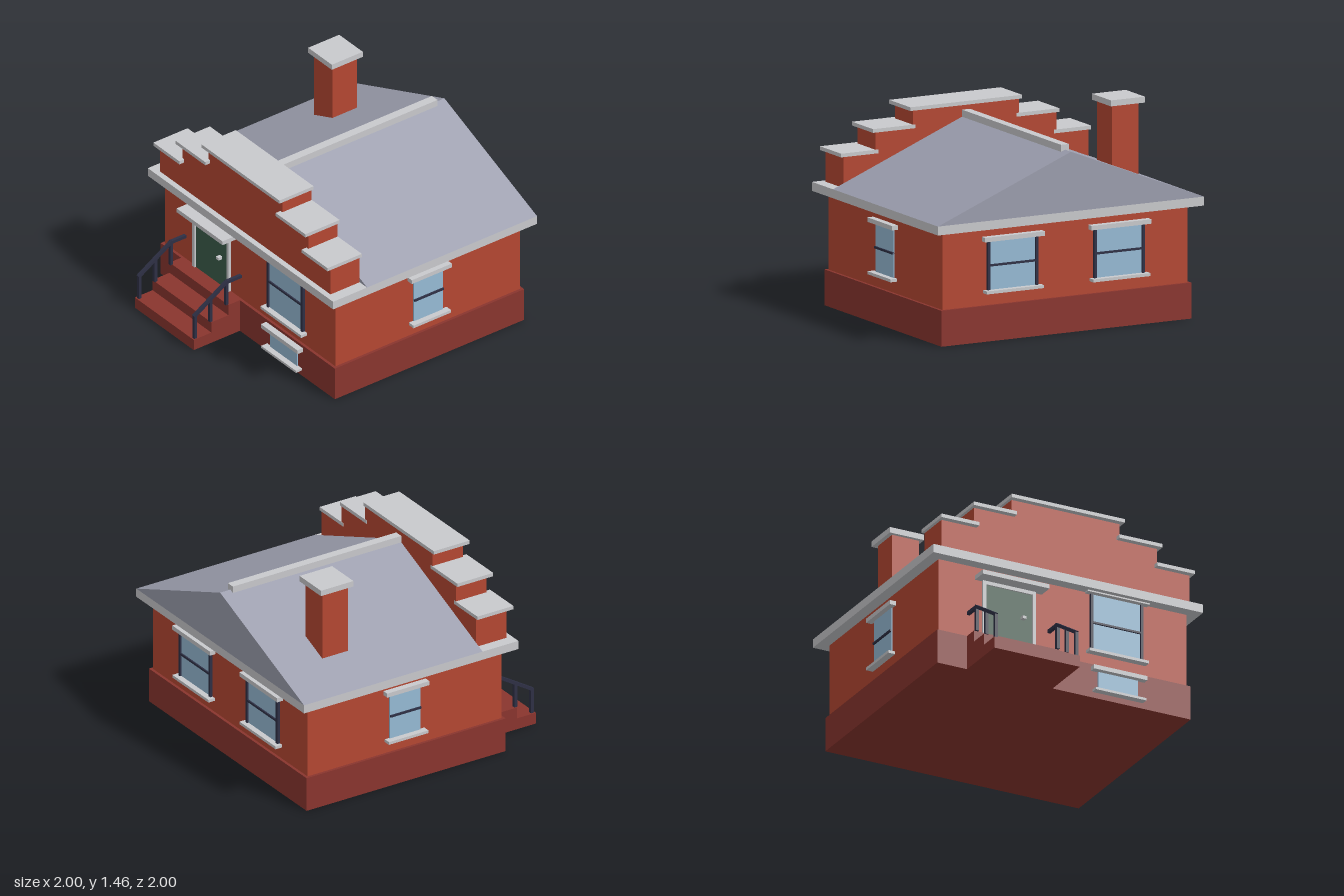
import * as THREE from 'three';

function material(name, color) {
  const m = new THREE.MeshStandardMaterial({ color });
  m.name = name;
  return m;
}

export function createModel() {
  const house = new THREE.Group();
  house.name = 'house';
  const brick = material('brick', 0xb54732);
  const darkBrick = material('darkBrick', 0x8a352e);
  const stone = material('stone', 0xc9cacd);
  const slate = material('slate', 0x9c9eae);
  const glass = material('glass', 0x96bbd5);
  const iron = material('iron', 0x2e3045);
  const green = material('green', 0x3c5c4b);

  // Box given by its lower and upper limits on each axis
  function box(name, mat, x0, x1, y0, y1, z0, z1, parent = house) {
    const mesh = new THREE.Mesh(new THREE.BoxGeometry(x1 - x0, y1 - y0, z1 - z0), mat);
    mesh.position.set((x0 + x1) / 2, (y0 + y1) / 2, (z0 + z1) / 2);
    mesh.name = name;
    parent.add(mesh);
    return mesh;
  }

  // Outline in x and y, extruded between two z values
  function prism(name, mat, points, z0, z1) {
    const shape = new THREE.Shape(points.map(([x, y]) => new THREE.Vector2(x, y)));
    const geo = new THREE.ExtrudeGeometry(shape, { depth: z1 - z0, bevelEnabled: false });
    const mesh = new THREE.Mesh(geo, mat);
    mesh.position.z = z0;
    mesh.name = name;
    house.add(mesh);
  }

  // Main body
  box('foundation', darkBrick, -0.94, 0.94, 0, 0.24, -0.94, 0.62);
  box('walls', brick, -0.92, 0.92, 0.24, 0.76, -0.92, 0.6);
  box('eaves', stone, -1, 1, 0.76, 0.82, -1, 0.68);

  // Gabled roof and ridge cap
  prism('roof', slate, [[-1, 0.82], [1, 0.82], [0, 1.22]], -1, 0.4);
  box('ridgeCap', stone, -0.03, 0.03, 1.2, 1.255, -0.92, 0.4);

  // Stepped parapet with coping stones
  prism('parapet', brick, [
    [-0.92, 0.82], [0.92, 0.82], [0.92, 1.03], [0.68, 1.03], [0.68, 1.17], [0.4, 1.17],
    [0.4, 1.29], [-0.4, 1.29], [-0.4, 1.17], [-0.68, 1.17], [-0.68, 1.03], [-0.92, 1.03],
  ], 0.4, 0.64);
  box('topCoping', stone, -0.42, 0.42, 1.285, 1.31, 0.398, 0.68);
  for (const s of [-1, 1]) {
    for (const [a, b, y] of [[0.38, 0.7, 1.167], [0.66, 0.94, 1.027]]) {
      box('coping', stone, Math.min(s * a, s * b), Math.max(s * a, s * b), y, y + 0.025, 0.398, 0.68);
    }
  }

  // Chimney
  box('chimney', brick, -0.7, -0.5, 0.85, 1.42, -0.66, -0.46);
  box('chimneyCap', stone, -0.73, -0.475, 1.42, 1.46, -0.69, -0.435);

  // Sash window facing +z, centred on x = 0 with the wall at z = 0
  function sashWindow(name, width, y0, y1, posts) {
    const g = new THREE.Group();
    g.name = name;
    const h = width / 2;
    box('pane', glass, -h, h, y0, y1, 0, 0.009, g);
    const bar = (y0 + y1) / 2;
    box('sashBar', iron, -h, h, bar - 0.007, bar + 0.007, 0, 0.02, g);
    box('sill', stone, -h - 0.035, h + 0.035, y0 - 0.02, y0, 0, 0.05, g);
    box('lintel', stone, -h - 0.045, h + 0.045, y1, y1 + 0.03, 0, 0.045, g);
    if (posts) {
      for (const s of [-1, 1]) box('sidePost', iron, s * h - 0.01, s * h + 0.01, y0, y1, 0, 0.02, g);
    }
    house.add(g);
    return g;
  }
  sashWindow('frontWindow', 0.37, 0.342, 0.75, true).position.set(0.395, 0, 0.6);
  for (const s of [-1, 1]) {
    const side = sashWindow('sideWindow', 0.24, 0.342, 0.67, false);
    side.position.set(s * 0.92, 0, -0.16);
    side.rotation.y = s * Math.PI / 2;
    const back = sashWindow('backWindow', 0.36, 0.342, 0.67, true);
    back.position.set(s * 0.4, 0, -0.92);
    back.rotation.y = Math.PI;
  }

  // Basement window
  box('basementPane', glass, 0.25, 0.545, 0.055, 0.19, 0.62, 0.629);
  box('basementLintel', stone, 0.2, 0.595, 0.19, 0.22, 0.62, 0.665);
  box('basementSill', stone, 0.21, 0.585, 0.04, 0.057, 0.62, 0.67);

  // Front door
  box('door', green, -0.575, -0.23, 0.24, 0.645, 0.6, 0.609);
  for (const x of [-0.6, -0.232]) box('doorJamb', stone, x, x + 0.025, 0.24, 0.67, 0.6, 0.62);
  box('doorHead', stone, -0.6, -0.207, 0.645, 0.67, 0.6, 0.62);
  box('doorLintel', stone, -0.65, -0.155, 0.67, 0.7, 0.6, 0.71);
  box('doorKnob', stone, -0.317, -0.29, 0.45, 0.47, 0.605, 0.64);

  // Front steps
  const steps = [[0.08, 1], [0.16, 0.855], [0.24, 0.715]];
  steps.forEach(([y, z], i) => box('step', darkBrick, -0.72, -0.085, y - 0.08, y, 0.61, z));

  // Handrails with a post on each step
  const t = 0.011;
  for (const x of [-0.7, -0.102]) {
    const rail = new THREE.Group();
    rail.name = 'handrail';
    house.add(rail);
    for (const [z, y0, y1] of [[0.98, 0.08, 0.255], [0.85, 0.16, 0.335], [0.72, 0.24, 0.415]]) {
      box('railPost', iron, x - t, x + t, y0, y1, z - t, z + t, rail);
    }
    box('levelRail', iron, x - t, x + t, 0.403, 0.425, 0.6, 0.725, rail);
    const dy = 0.16, dz = 0.26;
    const length = Math.hypot(dy, dz) + 0.02;
    const slope = box('slopedRail', iron, x - t, x + t, 0.323, 0.345, 0.85 - length / 2, 0.85 + length / 2, rail);
    slope.rotation.x = Math.atan2(dy, dz);
  }
  return house;
}
